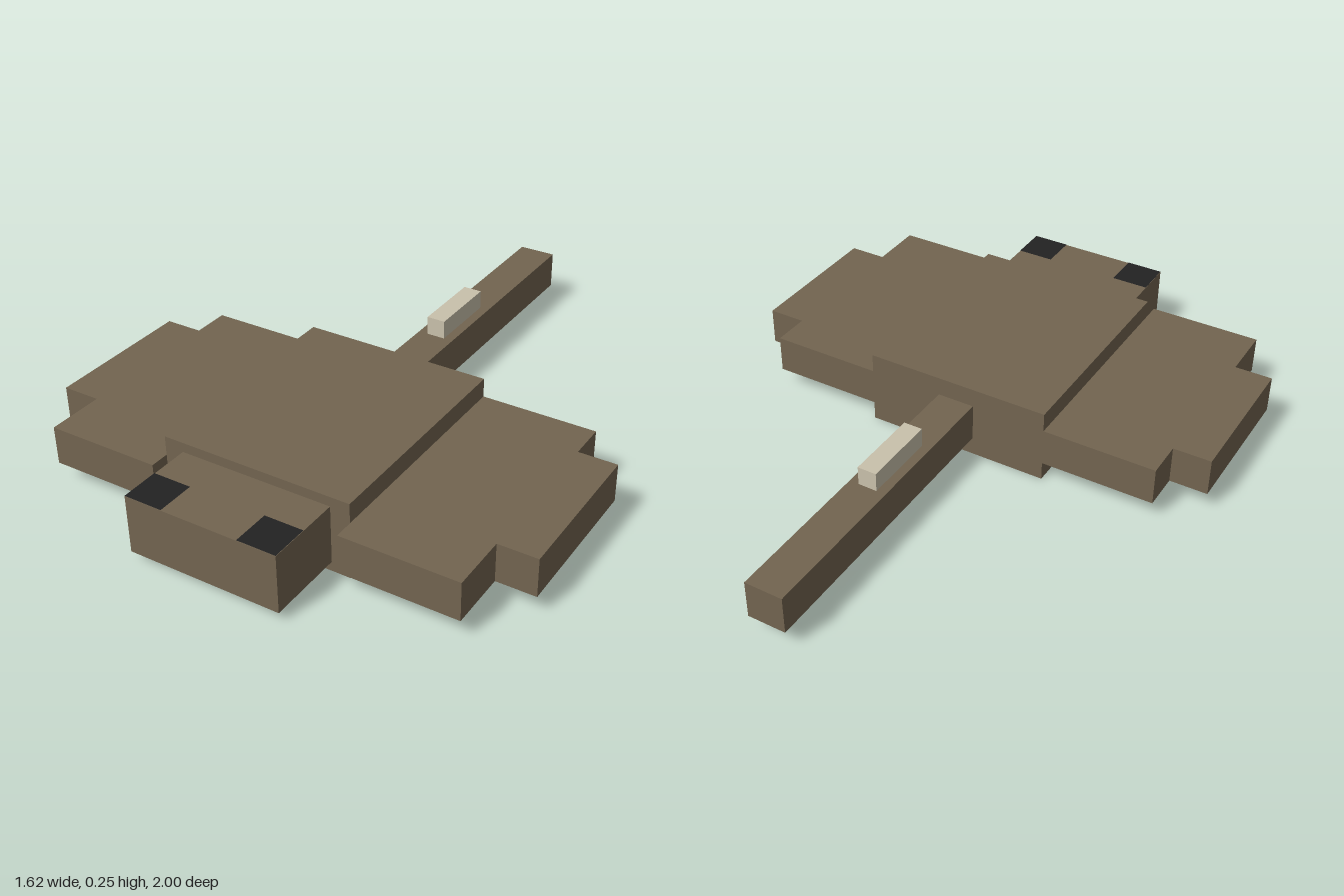
import * as THREE from 'three';

export function createModel() {
  const model = new THREE.Group();
  model.name = 'ray';

  const paint = (name, color) => {
    const m = new THREE.MeshStandardMaterial({ color });
    m.name = name;
    return m;
  };
  const brown = paint('brownSkin', 0x726450);
  const grey = paint('greyBelly', 0x7b7b78);
  const black = paint('blackEye', 0x222222);
  const bone = paint('paleSpine', 0xc9c1ac);

  // Brown on every side except the grey underside
  const skin = [brown, brown, brown, grey, brown, brown];

  // Box given by its extents along each axis
  const box = (name, [x0, x1], [y0, y1], [z0, z1], material, parent = model) => {
    const mesh = new THREE.Mesh(new THREE.BoxGeometry(x1 - x0, y1 - y0, z1 - z0), material);
    mesh.position.set((x0 + x1) / 2, (y0 + y1) / 2, (z0 + z1) / 2);
    mesh.name = name;
    parent.add(mesh);
    return mesh;
  };

  const thin = [0.0625, 0.1875];

  // Body and head
  box('body', [-0.3125, 0.3125], [0, 0.25], [0, 0.75], skin);
  box('head', [-0.25, 0.25], [0.03125, 0.21875], [0.75, 1], skin);

  // Fins and eyes, mirrored left and right
  for (const [side, s] of [['left', 1], ['right', -1]]) {
    const span = (a, b) => (s > 0 ? [a, b] : [-b, -a]);
    const fin = new THREE.Group();
    fin.name = side + 'Fin';
    model.add(fin);
    box(side + 'FinBase', span(0.3125, 0.6875), thin, [0, 0.8125], skin, fin);
    box(side + 'FinTip', span(0.6875, 0.8125), thin, [0.125, 0.625], skin, fin);

    // Eye patch as a single face on top of the head
    const eye = new THREE.Mesh(new THREE.PlaneGeometry(0.125, 0.125), black);
    eye.name = side + 'Eye';
    eye.rotation.x = -Math.PI / 2;
    eye.position.set(s * 0.1875, 0.2205, 0.9375);
    model.add(eye);
  }

  // Tail with an all-brown tip, and the spine on top
  box('tail', [-0.0625, 0.0625], thin, [-0.875, 0], skin);
  box('tailTip', [-0.0625, 0.0625], thin, [-1, -0.875], brown);
  box('tailSpine', [-0.03125, 0.03125], [0.1875, 0.25], [-0.5, -0.25], bone);

  return model;
}
